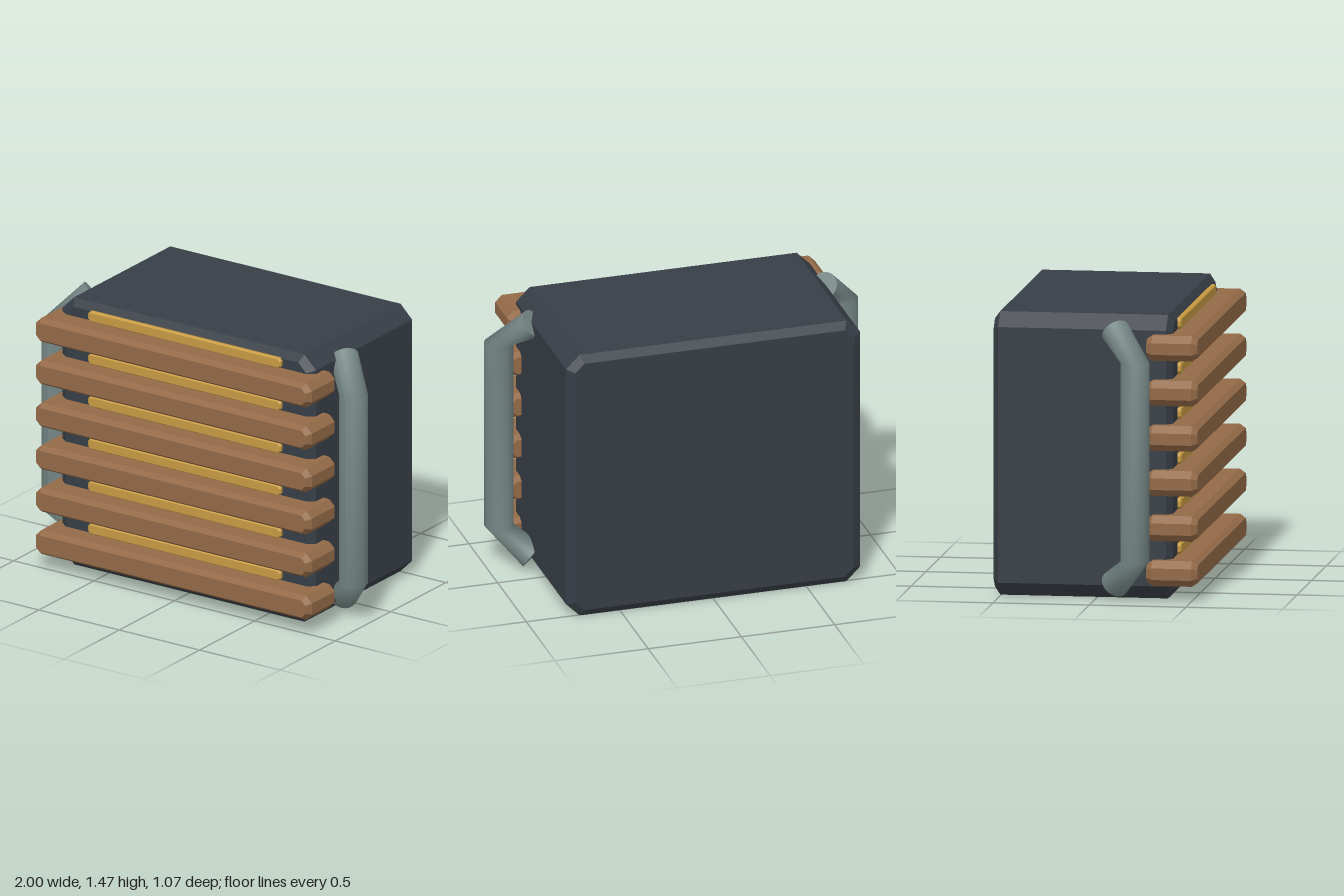
import * as THREE from 'three';

const mat = (name, color) => Object.assign(new THREE.MeshStandardMaterial({ color }), { name });

// Bar with clipped corners, bevelled front and back, spanning z0..z1
function clippedBlock(name, material, w, h, cut, z0, z1, bevel, depth) {
  const x = w / 2, y = h / 2;
  const shape = new THREE.Shape([
    [x - cut, -y], [x, -y + cut], [x, y - cut], [x - cut, y],
    [-x + cut, y], [-x, y - cut], [-x, -y + cut], [-x + cut, -y],
  ].map(p => new THREE.Vector2(...p)));
  const geo = new THREE.ExtrudeGeometry(shape, {
    depth: z1 - z0 - 2 * depth, bevelEnabled: true, bevelSegments: 1,
    bevelSize: bevel, bevelOffset: -bevel, bevelThickness: depth,
  });
  geo.translate(0, 0, z0 + depth);
  const mesh = new THREE.Mesh(geo, material);
  mesh.name = name;
  return mesh;
}

// Upright round bar whose two ends bend back into the side of the body
function handle(side, material) {
  const half = 0.735, bend = 0.515;
  const geo = new THREE.CylinderGeometry(0.075, 0.075, 2 * half, 24, 3);
  const pos = geo.attributes.position, v = new THREE.Vector3();
  for (let i = 0; i < pos.count; i++) {
    v.fromBufferAttribute(pos, i);
    const s = Math.sign(v.y);
    if (Math.abs(v.y) > half - 0.01) {
      const dir = new THREE.Vector3(-side * 0.145, 0.14 * s, -0.125);
      const q = new THREE.Quaternion().setFromUnitVectors(
        new THREE.Vector3(0, s, 0), dir.clone().normalize());
      v.y = 0;
      v.applyQuaternion(q).add(dir);
      v.y += s * bend;
    } else {
      v.y = s * bend;
    }
    pos.setXYZ(i, v.x, v.y, v.z);
  }
  geo.computeVertexNormals();
  const mesh = new THREE.Mesh(geo, material);
  mesh.position.set(side * 0.925, 0.735, 0.225);
  mesh.name = side > 0 ? 'leftHandle' : 'rightHandle';
  return mesh;
}

export function createModel() {
  const group = new THREE.Group();
  group.name = 'slattedCrate';
  const dark = mat('dark slate', 0x373e46);
  const wood = mat('brown wood', 0x936a47);
  const gold = mat('brass', 0xc89b42);
  const steel = mat('grey steel', 0x748684);

  // Main body
  const body = clippedBlock('body', dark, 1.576, 1.47, 0.072, -0.535, 0.395, 0.04, 0.03);
  body.position.y = 0.735;
  group.add(body);

  // Front slats, each with a brass strip above it
  for (let i = 0; i < 6; i++) {
    const y = 0.145 + i * 0.2335;
    const slat = clippedBlock('slat', wood, 1.716, 0.132, 0.036, 0.27, 0.535, 0.02, 0.03);
    slat.position.y = y;
    const strip = clippedBlock('brassStrip', gold, 1.2, 0.056, 0.014, 0.36, 0.415, 0.006, 0.008);
    strip.position.y = y + 0.094;
    group.add(slat, strip);
  }

  // Side handles
  for (const side of [1, -1]) group.add(handle(side, steel));
  return group;
}
